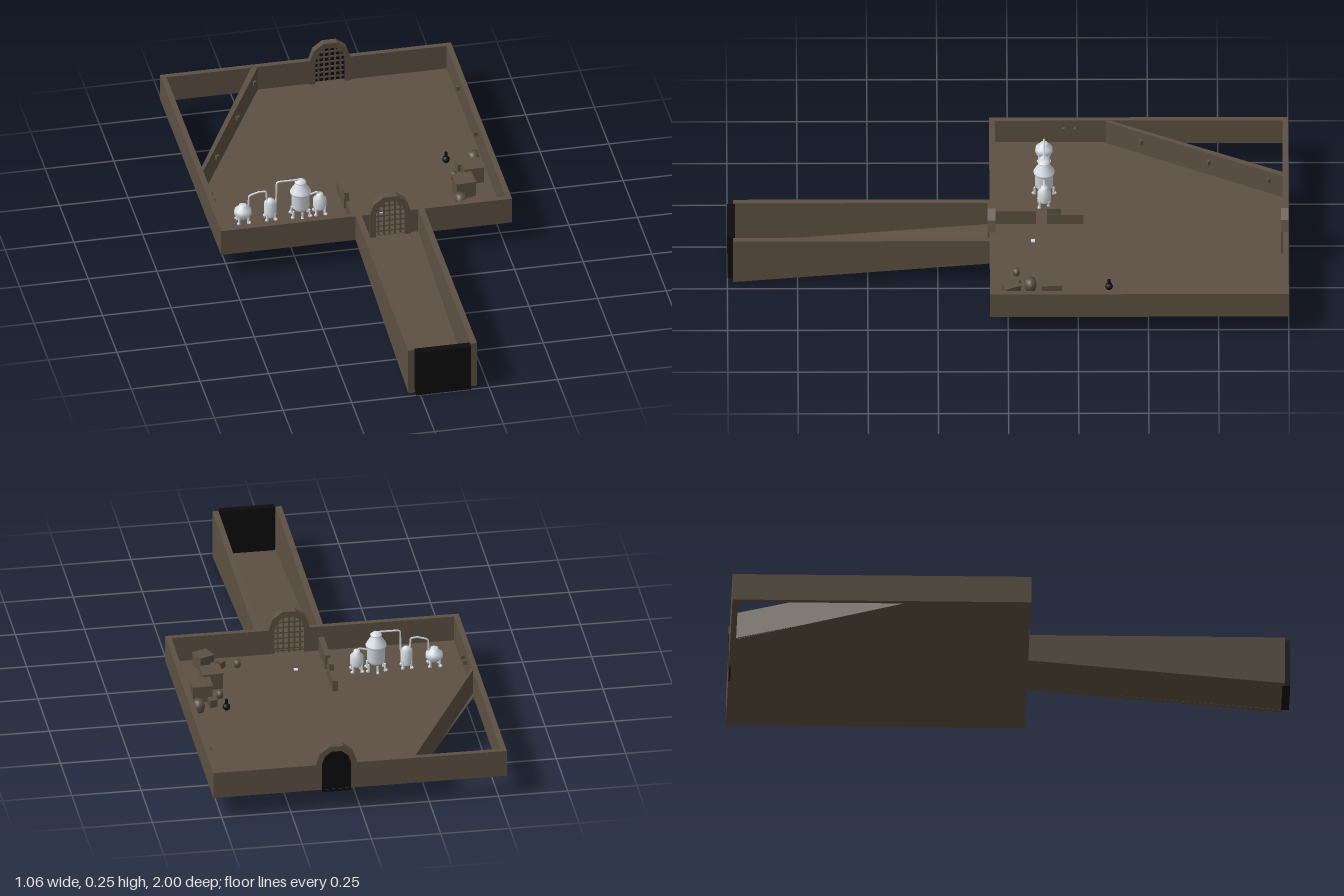
import * as THREE from 'three';

const material = (name, color) => {
  const m = new THREE.MeshStandardMaterial({ color });
  m.name = name;
  return m;
};

export function createModel() {
  const stone = material('brown stone', 0x5c5042);
  const black = material('black void', 0x0c0c0c);
  const pale = material('pale metal', 0xd6dce2);
  const root = new THREE.Group();
  const FLOOR = 0.085, TOP = 0.18, DOOR = 0.085;

  const add = (name, geo, mat, x = 0, y = 0, z = 0, ry = 0, parent = root) => {
    const m = new THREE.Mesh(geo, mat);
    m.name = name;
    m.position.set(x, y, z);
    m.rotation.y = ry;
    parent.add(m);
    return m;
  };
  const box = (name, mat, x0, x1, y0, y1, z0, z1) =>
    add(name, new THREE.BoxGeometry(x1 - x0, y1 - y0, z1 - z0), mat, (x0 + x1) / 2, (y0 + y1) / 2, (z0 + z1) / 2);
  const shape = pts => new THREE.Shape(pts.map(p => new THREE.Vector2(...p)));
  const extrude = (pts, depth) => new THREE.ExtrudeGeometry(shape(pts), { depth, bevelEnabled: false });
  // vertical profile given as (z, y), extruded across x0..x1
  const crossProfile = (name, pts, x0, x1) =>
    add(name, extrude(pts, x1 - x0).rotateY(-Math.PI / 2), stone, x1);

  // room floor with one corner cut off
  const floor = [[-0.53, -0.06], [0.53, -0.06], [0.53, 0.99], [-0.19, 0.99], [-0.52, 0.37]];
  add('roomFloor', extrude(floor, FLOOR - 0.08).rotateX(-Math.PI / 2), stone, 0, 0.08, 0);

  // side walls and the slanted wall across the cut corner
  box('leftWall', stone, 0.51, 0.53, 0.08, TOP, -0.98, 0.045);
  box('rightWall', stone, -0.53, -0.51, 0.08, TOP, -0.98, 0.045);
  const slant = [[-0.52, 0.35], [-0.2, 0.985], [-0.175, 0.985], [-0.505, 0.35]];
  add('slantedWall', extrude(slant.reverse(), TOP - 0.082).rotateX(-Math.PI / 2), stone, 0, 0.081, 0);

  // end walls, each with a doorway opening
  const arch = (w, rise) => [[-w, 0], [-w * 0.8, rise * 0.62], [-w * 0.33, rise], [w * 0.33, rise], [w * 0.8, rise * 0.62], [w, 0]];
  const inner = arch(0.053, 0.05).map(([x, y]) => [x + DOOR, y + TOP]);
  const outer = arch(0.075, 0.07).map(([x, y]) => [x + DOOR, y + TOP]);
  const opening = [[DOOR - 0.053, 0.081], ...inner, [DOOR + 0.053, 0.081]];
  const doorWall = (name, z) => {
    const pts = [[-0.53, 0.08], [-0.53, TOP], ...outer, [0.53, TOP], [0.53, 0.08]];
    const s = shape(pts);
    s.holes.push(new THREE.Path(opening.map(p => new THREE.Vector2(...p))));
    add(name, new THREE.ExtrudeGeometry(s, { depth: 0.02, bevelEnabled: false }), stone, 0, 0, z);
    // raised frame around the doorway, on the room side and the passage side
    const f = shape([[DOOR - 0.075, 0.081], ...outer, [DOOR + 0.075, 0.081]]);
    f.holes.push(new THREE.Path(opening.map(p => new THREE.Vector2(...p))));
    add(name + 'Arch', new THREE.ExtrudeGeometry(f, { depth: 0.026, bevelEnabled: false }), stone, 0, 0, z < -0.5 ? z + 0.001 : z + 0.002);
    // grille bars
    const zc = z + 0.01;
    for (let i = -2; i <= 2; i++) {
      const top = Math.abs(i) === 2 ? 0.213 : 0.23;
      box('grilleUpright', stone, DOOR + i * 0.02 - 0.003, DOOR + i * 0.02 + 0.003, 0.082, top, zc - 0.003, zc + 0.003);
    }
    for (let y = 0.1; y < 0.23; y += 0.021) {
      const w = y > 0.205 ? 0.035 : 0.052;
      box('grilleCrossbar', stone, DOOR - w, DOOR + w, y - 0.003, y + 0.003, zc - 0.002, zc + 0.002);
    }
  };
  doorWall('frontWall', 0.045);
  doorWall('backWall', -1);
  add('backDoorVoid', extrude([[DOOR - 0.052, 0.07], ...inner, [DOOR + 0.052, 0.07]], 0.006), black, 0, 0, -0.9995);

  // sloping passage
  const side = [[0.065, 0.08], [0.98, 0], [0.98, TOP], [0.065, TOP]];
  crossProfile('passageWallRight', side, -0.04, -0.018);
  crossProfile('passageWallLeft', side, 0.188, 0.21);
  crossProfile('passageFloor', [[0.065, 0.08], [0.98, 0.001], [0.98, 0.008], [0.065, 0.087]], -0.018, 0.188);
  box('passageEnd', black, -0.015, 0.185, 0, TOP, 0.972, 1);

  // broken partition
  box('partitionFront', stone, -0.04, -0.02, FLOOR, 0.14, -0.1, 0.045);
  box('partitionBack', stone, -0.04, -0.02, FLOOR, 0.125, -0.27, -0.14);
  box('partitionStep', stone, -0.038, -0.022, 0.12, 0.15, -0.19, -0.14);

  // crates: x, z, size, height, turn
  [[0.45, -0.245, 0.07, 0.06, 0], [0.4, -0.155, 0.07, 0.06, 0.06], [0.405, -0.01, 0.055, 0.05, 0.4],
    [0.42, -0.312, 0.028, 0.028, 0.2], [0.347, -0.025, 0.028, 0.025, 0.7]].forEach(([x, z, s, h, r]) => {
    add('crate', new THREE.BoxGeometry(s, h, s), stone, x, FLOOR + h / 2, z, r);
    add('crateLid', new THREE.BoxGeometry(s * 1.06, h * 0.1, s * 1.06), stone, x, FLOOR + h, z, r);
  });

  // barrels: x, z, radius, height
  [[0.475, -0.345, 0.022, 0.045], [0.372, -0.08, 0.022, 0.045], [0.385, -0.255, 0.013, 0.028], [0.285, -0.03, 0.013, 0.026]].forEach(([x, z, r, h]) => {
    const p = [[0, 0], [0.8, 0], [1, 0.5], [0.8, 1], [0, 1]].map(([a, b]) => new THREE.Vector2(a * r, b * h));
    add('barrel', new THREE.LatheGeometry(p, 10), stone, x, FLOOR, z);
  });
  add('blackPot', new THREE.SphereGeometry(0.014, 8, 6), black, 0.378, FLOOR + 0.018, -0.36);
  add('blackPotNeck', new THREE.CylinderGeometry(0.005, 0.007, 0.025, 8), black, 0.378, FLOOR + 0.035, -0.36);
  box('floorTile', pale, 0.076, 0.09, FLOOR, FLOOR + 0.004, -0.096, -0.082);

  // small wall brackets: x, z, turn
  [[0.503, -0.75, 0], [0.503, -0.44, 0], [-0.503, -0.24, 0], [-0.503, -0.2, 0], [-0.305, -0.715, 0.48], [-0.43, -0.475, 0.48], [-0.2, -0.93, 0.48]].forEach(([x, z, r]) =>
    add('wallBracket', new THREE.BoxGeometry(0.014, 0.016, 0.01), stone, x, 0.145, z, r));

  // distilling vessels
  const still = new THREE.Group();
  still.name = 'still';
  still.position.set(0, FLOOR, -0.13);
  root.add(still);
  const vessel = (name, x, pts, legs, legR) => {
    const p = pts.map(q => new THREE.Vector2(...q));
    add(name, new THREE.LatheGeometry(p, 14), pale, x, 0, 0, 0, still);
    for (let i = 0; i < legs; i++) {
      const a = (i + 0.5) / legs * Math.PI * 2;
      add(name + 'Leg', new THREE.CylinderGeometry(0.004, 0.005, 0.03, 6), pale,
        x + Math.cos(a) * legR, 0.015, Math.sin(a) * legR, 0, still);
      add(name + 'Foot', new THREE.SphereGeometry(0.006, 6, 4), pale,
        x + Math.cos(a) * (legR + 0.005), 0.005, Math.sin(a) * (legR + 0.005), 0, still);
    }
  };
  vessel('boiler', -0.2, [[0, 0.025], [0.025, 0.028], [0.032, 0.04], [0.032, 0.09], [0.038, 0.096], [0.038, 0.102],
    [0.017, 0.135], [0.021, 0.138], [0.021, 0.141], [0.012, 0.149], [0, 0.15]], 6, 0.034);
  vessel('smallTank', -0.13, [[0, 0.02], [0.022, 0.022], [0.024, 0.03], [0.024, 0.062], [0.012, 0.075], [0.012, 0.083], [0, 0.085]], 4, 0.022);
  vessel('condenser', -0.31, [[0, 0.01], [0.02, 0.012], [0.022, 0.02], [0.022, 0.07], [0.01, 0.082], [0, 0.084]], 4, 0.02);
  vessel('receiver', -0.41, [[0, 0.015], [0.018, 0.018], [0.032, 0.035], [0.03, 0.052], [0.012, 0.065], [0.014, 0.07], [0, 0.071]], 4, 0.024);

  // pipes joining the vessels
  const pipe = (name, pts) => {
    const path = new THREE.CurvePath();
    const v = pts.map(p => new THREE.Vector3(p[0], p[1], 0));
    for (let i = 1; i < v.length; i++) path.add(new THREE.LineCurve3(v[i - 1], v[i]));
    add(name, new THREE.TubeGeometry(path, 32, 0.0035, 6), pale, 0, 0, 0, 0, still);
  };
  pipe('boilerPipe', [[-0.2, 0.145], [-0.21, 0.15], [-0.28, 0.15], [-0.287, 0.145], [-0.289, 0.06], [-0.3, 0.05]]);
  pipe('receiverPipe', [[-0.322, 0.075], [-0.325, 0.115], [-0.35, 0.117], [-0.38, 0.108], [-0.388, 0.102], [-0.39, 0.055]]);
  pipe('tankPipe', [[-0.13, 0.08], [-0.14, 0.09], [-0.175, 0.08]]);

  return root;
}
